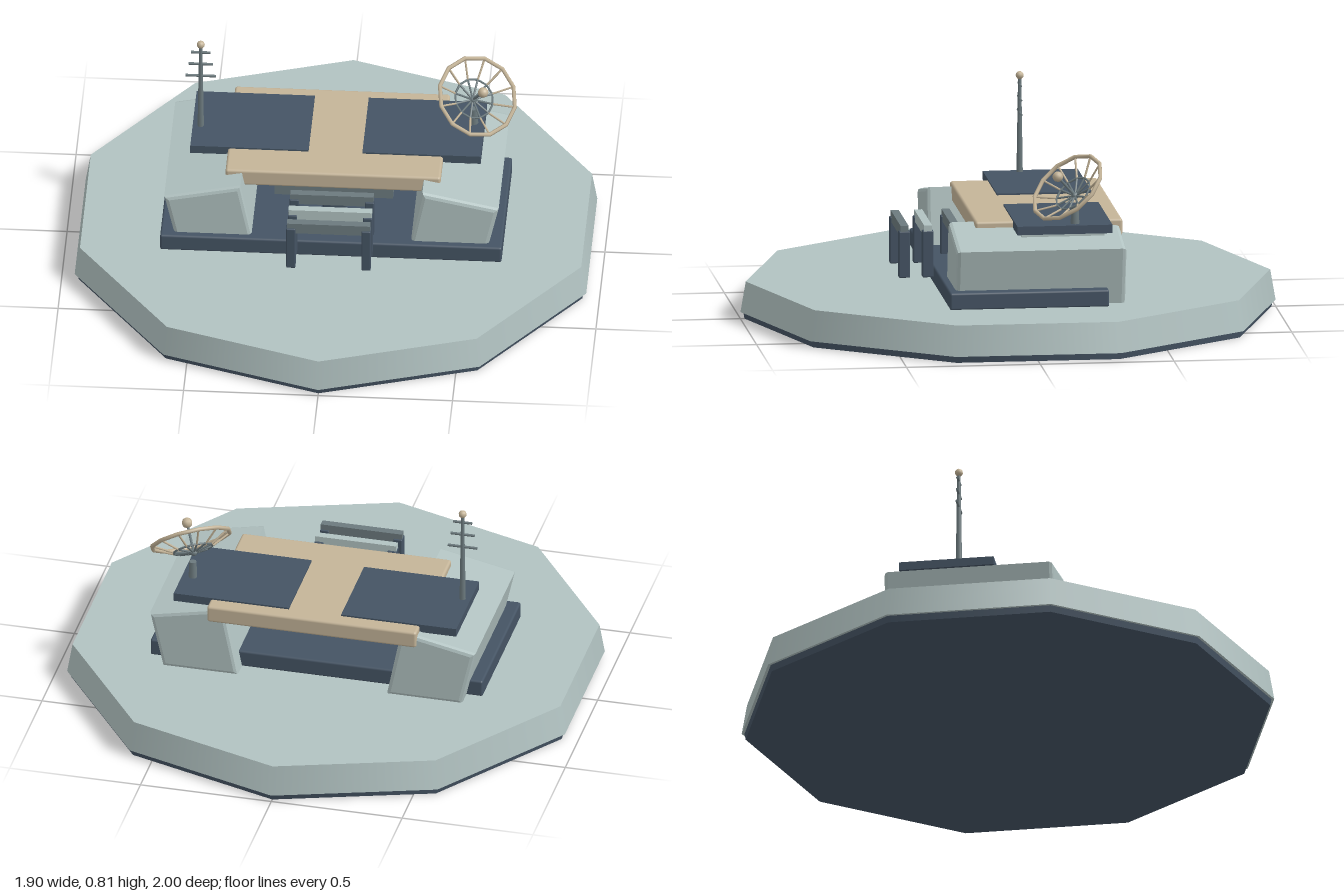
import * as THREE from 'three';
import { RoundedBoxGeometry } from 'three/addons/geometries/RoundedBoxGeometry.js';

const material = (name, color) => Object.assign(new THREE.MeshStandardMaterial({ color }), { name });

export function createModel() {
  const model = new THREE.Group();
  model.name = 'outpost';
  const pale = material('pale grey green', 0xb1c2c1);
  const slate = material('slate blue', 0x455464);
  const sand = material('sand', 0xc4b498);
  const steel = material('steel grey', 0x6c7a7e);

  const add = (name, geometry, mat, x = 0, y = 0, z = 0, parent = model) => {
    const mesh = new THREE.Mesh(geometry, mat);
    mesh.name = name;
    mesh.position.set(x, y, z);
    parent.add(mesh);
    return mesh;
  };
  const group = (name, parent = model) => {
    const g = new THREE.Group();
    g.name = name;
    parent.add(g);
    return g;
  };
  const box = (w, h, d) => new THREE.BoxGeometry(w, h, d);
  const rounded = (w, h, d, r) => new RoundedBoxGeometry(w, h, d, 2, r);
  // Thin rod between two points
  const rod = (name, a, b, r, mat, parent) => {
    const dir = b.clone().sub(a);
    const mesh = add(name, new THREE.CylinderGeometry(r, r, dir.length(), 6), mat, 0, 0, 0, parent);
    mesh.position.copy(a).add(b).multiplyScalar(0.5);
    mesh.quaternion.setFromUnitVectors(new THREE.Vector3(0, 1, 0), dir.normalize());
  };

  // Ten-sided base with a dark underside
  add('baseFoot', new THREE.CylinderGeometry(0.99, 0.985, 0.03, 10), slate, 0, 0.015);
  add('basePlatform', new THREE.CylinderGeometry(0.98, 1, 0.115, 10), pale, 0, 0.0825);
  add('deck', rounded(1.27, 0.065, 0.595, 0.008), slate, 0, 0.17, -0.005);

  // Leaning side blocks
  const bevel = 0.015;
  for (const s of [-1, 1]) {
    const corners = [[0.3, 0.15], [0.56, 0.15], [0.604, 0.343], [0.35, 0.396]];
    const shape = new THREE.Shape(corners.map(([x, y]) => new THREE.Vector2(s * x, y)));
    const geometry = new THREE.ExtrudeGeometry(shape, {
      depth: 0.605, bevelEnabled: true, bevelSize: bevel, bevelThickness: bevel, bevelSegments: 2,
    });
    add(s > 0 ? 'leftBlock' : 'rightBlock', geometry, pale, 0, 0, -0.355);
    // Flat roof panels
    add(s > 0 ? 'leftRoofPanel' : 'rightRoofPanel', box(0.44, 0.032, 0.355), slate, s * 0.32, 0.414, -0.148);
    add('panelSupport', box(0.3, 0.02, 0.31), pale, s * 0.35, 0.392, -0.145);
  }
  add('roof', rounded(0.8, 0.066, 0.55, 0.01), sand, 0, 0.391, -0.105);

  // Table under the roof
  add('tableTop', box(0.44, 0.045, 0.24), steel, 0, 0.312, 0);
  const pedestal = new THREE.CylinderGeometry(0.08, 0.08, 0.1, 6, 1, false, Math.PI / 6).toNonIndexed();
  pedestal.computeVertexNormals();
  add('tablePedestal', pedestal, slate, 0, 0.243, 0);

  // Three barriers in front of the entrance
  [[0.215, steel], [0.317, pale], [0.405, steel]].forEach(([z, mat]) => {
    const barrier = group('barrier');
    add('barrierBar', box(0.31, 0.042, 0.03), mat, 0, 0.346, z, barrier);
    for (const s of [-1, 1]) add('barrierPost', rounded(0.034, 0.175, 0.042, 0.004), slate, s * 0.14, 0.258, z, barrier);
  });

  // Antenna mast with three crossbars
  const mast = group('mast');
  mast.position.set(-0.51, 0, -0.105);
  add('mastPole', new THREE.CylinderGeometry(0.006, 0.012, 0.37, 8), steel, 0, 0.61, 0, mast);
  add('mastTip', new THREE.SphereGeometry(0.015, 10, 8), sand, 0, 0.795, 0, mast);
  [[0.655, 0.056], [0.708, 0.046], [0.76, 0.036]].forEach(([y, h]) =>
    rod('mastCrossbar', new THREE.Vector3(-h, y, 0), new THREE.Vector3(h, y, 0), 0.005, steel, mast));

  // Open wire dish, its axis along local y
  add('dishPost', new THREE.CylinderGeometry(0.014, 0.017, 0.08, 8), steel, 0.5, 0.455, -0.19);
  const dish = group('dish');
  dish.position.set(0.515, 0.57, -0.16);
  dish.quaternion.setFromUnitVectors(new THREE.Vector3(0, 1, 0), new THREE.Vector3(0.37, 0.71, 0.6).normalize());
  const depth = 0.05, radius = 0.15;
  const bowlY = (r) => depth * ((r / radius) ** 2 - 1);
  const ring = (name, r, tube, mat) =>
    add(name, new THREE.TorusGeometry(r, tube, 6, 12), mat, 0, bowlY(r), 0, dish).rotation.x = Math.PI / 2;
  ring('dishRim', radius, 0.008, sand);
  ring('dishInnerRing', 0.075, 0.004, steel);
  for (let i = 0; i < 12; i++) {
    const a = (i / 12) * Math.PI * 2;
    const at = (r) => new THREE.Vector3(Math.cos(a) * r, bowlY(r), Math.sin(a) * r);
    rod('dishOuterRib', at(0.075), at(radius), 0.004, sand, dish);
    rod('dishInnerRib', at(0.005), at(0.075), 0.004, steel, dish);
  }
  add('dishHub', new THREE.SphereGeometry(0.014, 8, 6), steel, 0, -depth, 0, dish);
  rod('dishFeedStem', new THREE.Vector3(0, -depth, 0), new THREE.Vector3(0, 0.06, 0), 0.005, steel, dish);
  add('dishFeed', new THREE.SphereGeometry(0.02, 10, 8), sand, 0, 0.065, 0, dish);

  return model;
}
